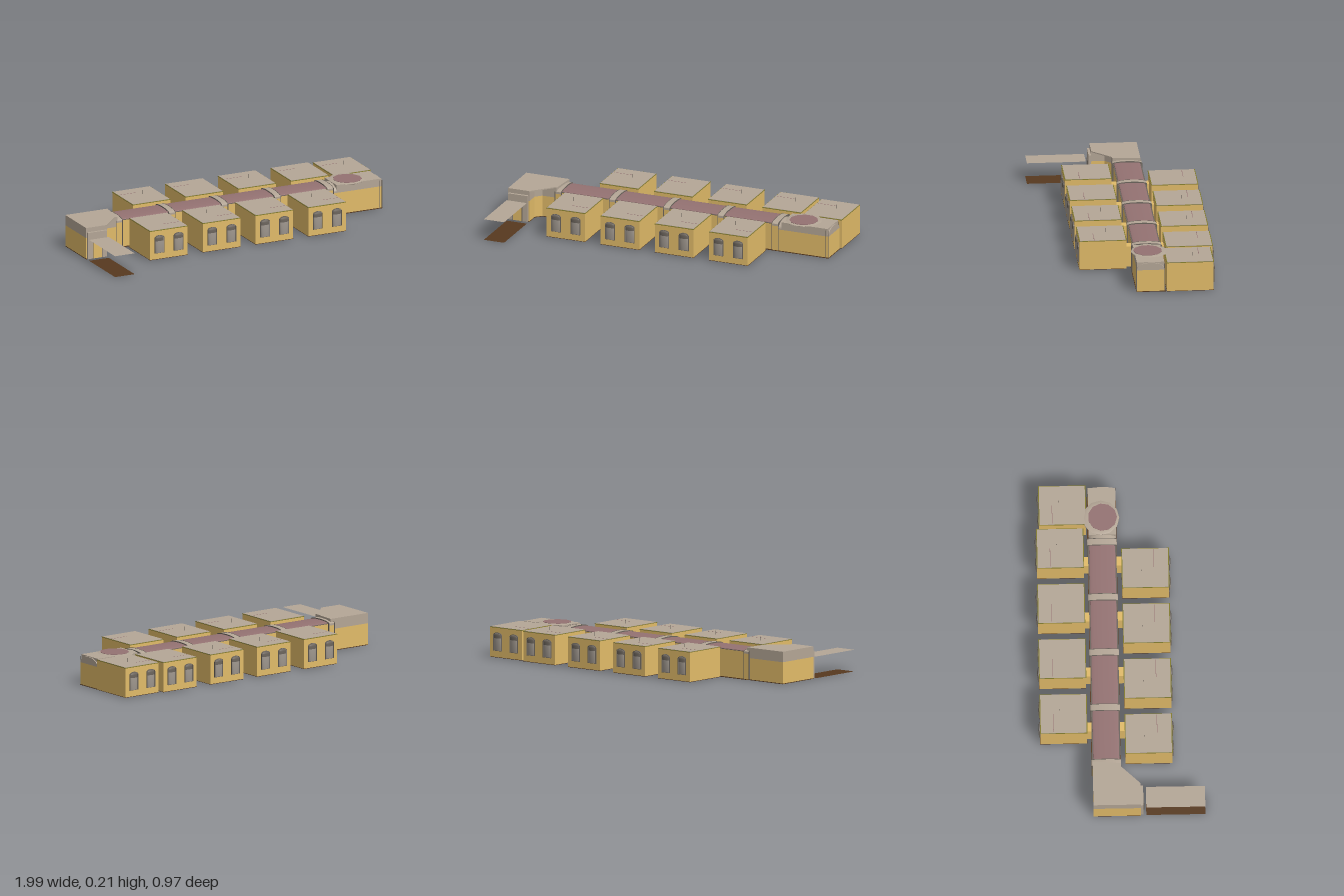
import * as THREE from 'three';

const mat = (name, color, side = THREE.FrontSide) => {
  const m = new THREE.MeshStandardMaterial({ color, side });
  m.name = name;
  return m;
};

export function createModel() {
  const root = new THREE.Group();
  root.name = 'corridorBuilding';
  const M = {
    wall: mat('tanWall', 0xe1bb69),
    roof: mat('taupeRoof', 0xb4a696),
    mauve: mat('mauveRoof', 0x947272),
    trim: mat('oliveTrim', 0x807a2c),
    floor: mat('brownFloor', 0x57391f, THREE.DoubleSide),
    navy: mat('navyFloor', 0x0a0a28),
    glass: mat('lightGreyGlass', 0xa29a91),
    shade: mat('darkGreyMetal', 0x6c655d),
    canopy: mat('taupeCanopy', 0xb4a696, THREE.DoubleSide),
  };

  const add = (parent, name, geo, material, x = 0, y = 0, z = 0) => {
    const m = new THREE.Mesh(geo, material);
    m.name = name;
    m.position.set(x, y, z);
    parent.add(m);
    return m;
  };
  // Box given by its limits
  const box = (parent, name, material, x0, x1, y0, y1, z0, z1) =>
    add(parent, name, new THREE.BoxGeometry(x1 - x0, y1 - y0, z1 - z0), material,
      (x0 + x1) / 2, (y0 + y1) / 2, (z0 + z1) / 2);
  // Plan outline of [x, z] points raised from y0 to y1, with optional holes
  const slab = (parent, name, material, pts, y0, y1, holes = []) => {
    const v = (list) => list.map(([x, z]) => new THREE.Vector2(x, -z));
    const s = new THREE.Shape(v(pts));
    holes.forEach((h) => s.holes.push(new THREE.Path(v(h).reverse())));
    const g = new THREE.ExtrudeGeometry(s, { depth: y1 - y0, bevelEnabled: false });
    g.rotateX(-Math.PI / 2);
    return add(parent, name, g, material, 0, y0, 0);
  };
  const rect = (x0, x1, z0, z1) => [[x0, z0], [x1, z0], [x1, z1], [x0, z1]];
  // Vault running along x: straight sides from y0 to spring, elliptical top
  const vault = (parent, name, material, x0, x1, z0, z1, y0, spring, top) => {
    const c = -(z0 + z1) / 2, r = (z1 - z0) / 2;
    const s = new THREE.Shape();
    s.moveTo(c - r, y0);
    s.lineTo(c + r, y0);
    s.lineTo(c + r, spring);
    s.absellipse(c, spring, r, top - spring, 0, Math.PI, false);
    s.closePath();
    const g = new THREE.ExtrudeGeometry(s, { depth: x1 - x0, bevelEnabled: false, curveSegments: 16 });
    g.rotateY(Math.PI / 2);
    return add(parent, name, g, material, x0, 0, 0);
  };

  // Arched outline used by windows and doors
  const arch = (w, h, y = 0, Type = THREE.Shape) => {
    const s = new Type(), r = w / 2, rise = r * 0.55;
    s.moveTo(-r, y);
    s.lineTo(r, y);
    s.lineTo(r, y + h - rise);
    s.absellipse(0, y + h - rise, r, rise, 0, Math.PI, false);
    s.closePath();
    return s;
  };
  const extrude = (s, depth) => new THREE.ExtrudeGeometry(s, { depth, bevelEnabled: false, curveSegments: 10 });
  const ringShape = arch(0.061, 0.109);
  ringShape.holes.push(arch(0.056, 0.104, 0.0025, THREE.Path));
  const frameGeo = extrude(ringShape, 0.0155);
  const paneGeo = extrude(arch(0.058, 0.106, 0.0015), 0.011);
  const doorGeo = extrude(arch(0.055, 0.12), 0.012);
  // Bulging glass: a flattened round column, light below and dark in the domed top
  const bay = (pts) => new THREE.LatheGeometry(pts.map(([r, y]) => new THREE.Vector2(r, y)), 24).scale(1, 1, 0.36);
  const bayLowGeo = bay([[0, 0], [0.0275, 0], [0.0275, 0.072]]);
  const bayTopGeo = bay([[0.0275, 0.072], [0.0275, 0.088], [0.025, 0.095], [0.016, 0.1], [0, 0.102]]);

  // Room with an open shell, roof, two windows outside and a door to the corridor
  const room = (x0, x1, z0, z1, dir, doorX, floored) => {
    const g = new THREE.Group();
    g.name = 'room';
    root.add(g);
    const t = 0.006, cx = (x0 + x1) / 2;
    slab(g, 'walls', M.wall, rect(x0, x1, z0, z1), 0.005, 0.178,
      [rect(x0 + t, x1 - t, z0 + t, z1 - t)]);
    box(g, 'roofTrim', M.trim, x0 - 0.001, x1 + 0.001, 0.178, 0.181, z0 - 0.002, z1 + 0.002);
    box(g, 'roofPlate', M.roof, x0 + 0.002, x1 - 0.002, 0.181, 0.183, z0 + 0.003, z1 - 0.003);
    box(g, 'ceiling', M.wall, x0 + t, x1 - t, 0.172, 0.178, z0 + t, z1 - t);
    slab(g, 'baseTrim', M.floor, rect(x0 - 0.001, x1 + 0.001, z0 - 0.001, z1 + 0.001), 0.003, 0.005,
      [rect(x0 + t, x1 - t, z0 + t, z1 - t)]);
    if (floored) box(g, 'floor', M.navy, x0 + 0.002, x1 - 0.002, 0.002, 0.006, z0 + 0.002, z1 - 0.002);
    const zOut = dir > 0 ? z1 : z0, zIn = dir > 0 ? z0 : z1;
    for (const side of [-1, 1]) {
      const w = new THREE.Group();
      w.name = 'window';
      w.position.set(cx + side * 0.062, 0.042, zOut - dir * 0.009);
      if (dir < 0) w.rotation.y = Math.PI;
      add(w, 'windowFrame', frameGeo, M.shade);
      add(w, 'windowPane', paneGeo, M.glass, 0, 0, 0.001);
      add(w, 'windowBay', bayLowGeo, M.glass, 0, 0.003, 0.0105);
      add(w, 'windowBayTop', bayTopGeo, M.shade, 0, 0.003, 0.0105);
      g.add(w);
    }
    if (doorX !== null) add(g, 'door', doorGeo, M.glass, doorX, 0.008, zIn + dir * 0.003 - 0.006);
    // Mast and pipe on the roof
    const mz = dir > 0 ? 0.135 : zOut + 0.115;
    add(g, 'roofMast', new THREE.CylinderGeometry(0.0009, 0.0009, 0.024, 6), M.shade, cx - dir * 0.02, 0.194, mz);
    const pz = dir > 0 ? 0.21 : zOut + 0.077;
    const p0 = dir > 0 ? cx + 0.005 : x0 + 0.01;
    box(g, 'roofPipe', M.mauve, p0, p0 + 0.11, 0.183, 0.1835, pz - 0.0015, pz + 0.0015);
  };

  // Two rows of rooms and the short passages that join them to the corridor
  for (let i = 0; i < 4; i++) {
    const s = i * 0.343, door = -0.486 + s;
    room(-0.541 + s, -0.298 + s, -0.472, -0.199, -1, door, true);
    room(-0.672 + s, -0.428 + s, 0.023, 0.297, 1, door, false);
    box(root, 'backPassage', M.wall, door - 0.028, door + 0.028, 0.004, 0.13, -0.201, -0.17);
    box(root, 'frontPassage', M.wall, door - 0.028, door + 0.028, 0.004, 0.13, -0.012, 0.025);
  }
  room(0.755, 0.997, -0.456, -0.182, -1, null, true);

  // Corridor with mauve vaults between ribs
  box(root, 'corridorWalls', M.wall, -0.73, 0.66, 0.004, 0.165, -0.17, -0.01);
  box(root, 'corridorEaves', M.shade, -0.73, 0.66, 0.165, 0.167, -0.173, -0.007);
  vault(root, 'corridorRoof', M.mauve, -0.73, 0.66, -0.166, -0.014, 0.166, 0.169, 0.176);
  for (let i = 0; i < 5; i++) {
    const x = -0.724 + i * 0.343;
    vault(root, 'ribRoof', M.roof, x - 0.018, x + 0.018, -0.178, -0.004, 0.155, 0.167, 0.181);
    box(root, 'ribWall', M.wall, x - 0.018, x + 0.018, 0.004, 0.155, -0.177, -0.005);
    for (const e of [-0.02, 0.02]) {
      vault(root, 'ribEdge', M.shade, x + e - 0.0015, x + e + 0.0015, -0.179, -0.003, 0.004, 0.168, 0.182);
    }
  }

  // End lobby: tan walls, taupe upper walls, broad round roof plate with a mauve disc
  box(root, 'lobbyWalls', M.wall, 0.66, 0.987, 0.004, 0.135, -0.168, -0.007);
  vault(root, 'lobbyVault', M.roof, 0.66, 0.987, -0.168, -0.007, 0.135, 0.14, 0.179);
  box(root, 'lobbyUpperWalls', M.roof, 0.69, 0.98, 0.135, 0.182, -0.168, -0.007);
  const plate = new THREE.LatheGeometry(
    [[0, 0.179], [0.108, 0.179], [0.107, 0.182], [0.085, 0.185], [0, 0.186]]
      .map(([r, y]) => new THREE.Vector2(r, y)), 12);
  add(root, 'lobbyRoofPlate', plate, M.roof, 0.795, 0, -0.094);
  add(root, 'roofDisc', new THREE.CylinderGeometry(0.085, 0.085, 0.002, 11), M.mauve, 0.797, 0.1865, -0.085);
  for (const z of [-0.169, -0.006]) {
    for (const x of [0.97, 0.984]) box(root, 'lobbyPost', M.shade, x - 0.0015, x + 0.0015, 0.004, 0.172, z - 0.002, z + 0.002);
  }

  // Entrance hall: walls step back under a roof with a slanted corner
  const hallWall = [[-0.995, -0.17], [-0.722, -0.17], [-0.735, -0.006], [-0.825, -0.006],
    [-0.86, 0.028], [-0.86, 0.107], [-0.995, 0.107]];
  const hallTop = [[-0.995, -0.17], [-0.722, -0.17], [-0.735, -0.006], [-0.755, -0.006],
    [-0.862, 0.107], [-0.995, 0.107]];
  slab(root, 'hallWalls', M.wall, hallWall, 0.004, 0.13);
  slab(root, 'hallUpperWalls', M.roof, hallWall, 0.13, 0.186);
  slab(root, 'hallRoof', M.roof, hallTop, 0.186, 0.192);

  // Entrance portal, door, walkway and its flat canopy
  box(root, 'portal', M.roof, -0.99, -0.866, 0.004, 0.165, 0.1, 0.122);
  box(root, 'portalLintel', M.shade, -0.958, -0.898, 0.117, 0.12, 0.12, 0.127);
  for (const x of [-0.957, -0.899]) box(root, 'portalJamb', M.shade, x - 0.0015, x + 0.0015, 0.004, 0.12, 0.12, 0.127);
  box(root, 'entranceDoor', M.wall, -0.956, -0.9, 0.006, 0.118, 0.12, 0.125);
  const sheet = new THREE.PlaneGeometry(0.128, 0.345);
  sheet.rotateX(-Math.PI / 2);
  add(root, 'walkway', sheet, M.floor, -0.927, 0, 0.311);
  add(root, 'canopy', sheet, M.canopy, -0.927, 0.128, 0.311);

  // Brown floor under hall, corridor and lobby
  slab(root, 'hallFloor', M.floor, hallWall, 0, 0.004);
  box(root, 'corridorFloor', M.floor, -0.735, 0.988, 0, 0.004, -0.176, -0.004);
  return root;
}
